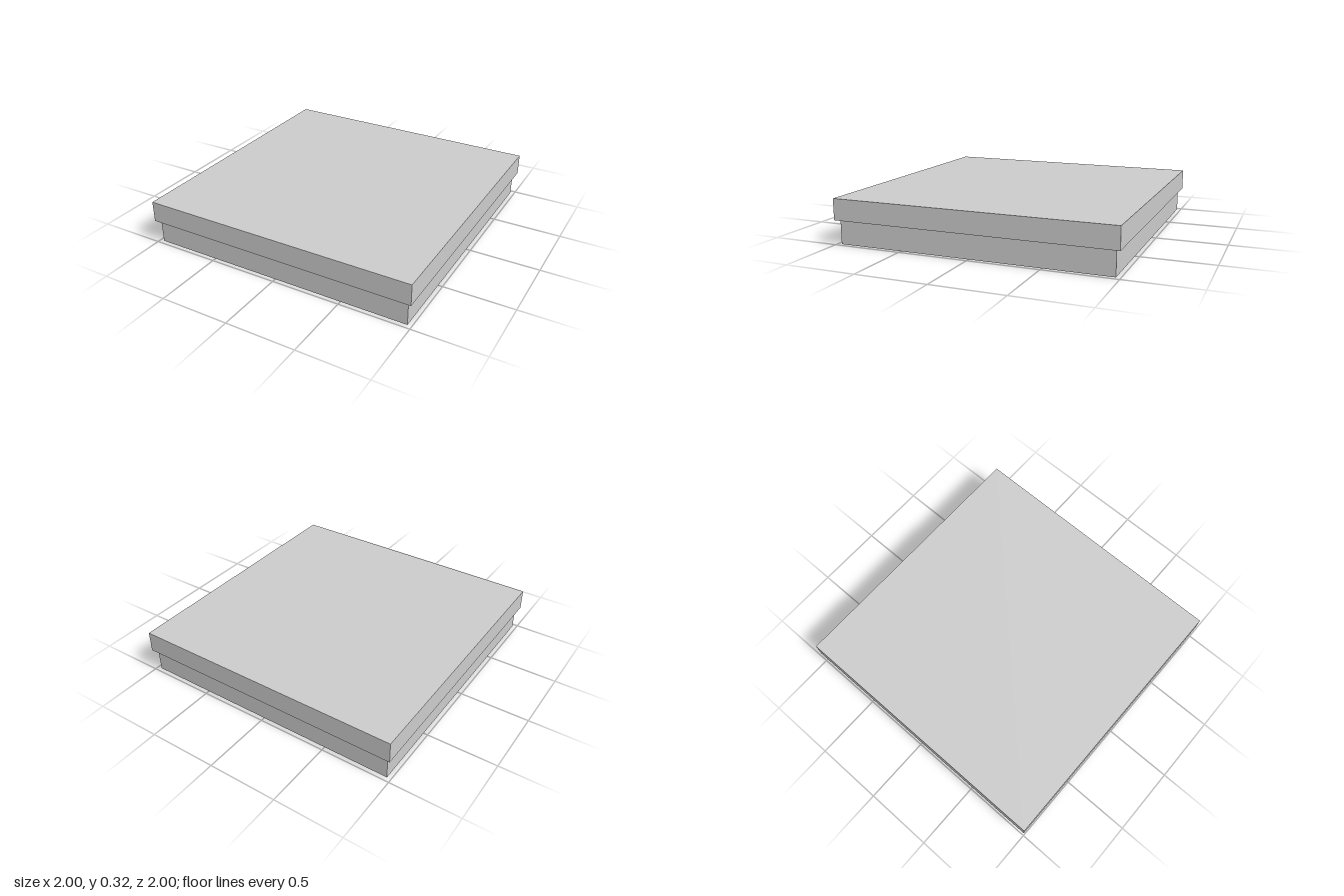
import * as THREE from 'three';

const material = new THREE.MeshStandardMaterial({ color: 0xcccccc });

function panel(name, width, height, depth, x, y, z) {
  const mesh = new THREE.Mesh(new THREE.BoxGeometry(width, height, depth), material);
  mesh.name = name;
  mesh.position.set(x, y, z);
  return mesh;
}

// Square tray: one plate and four walls; side walls run the full depth,
// front and back walls fit between them.
function tray(name, half, thickness, plateY, wallBottom, wallTop) {
  const group = new THREE.Group();
  group.name = name;
  const height = wallTop - wallBottom;
  const y = (wallTop + wallBottom) / 2;
  const offset = half - thickness / 2;
  group.add(panel(name + 'Plate', half * 2, thickness, half * 2, 0, plateY, 0));
  for (const s of [1, -1]) {
    group.add(panel(name + (s > 0 ? 'LeftWall' : 'RightWall'), thickness, height, half * 2, s * offset, y, 0));
    group.add(panel(name + (s > 0 ? 'FrontWall' : 'BackWall'), (half - thickness) * 2, height, thickness, 0, y, s * offset));
  }
  return group;
}

export function createModel() {
  const box = new THREE.Group();
  box.name = 'liddedBox';
  // Base tray, its walls reaching up inside the lid
  box.add(tray('base', 0.97, 0.024, 0.012, 0.024, 0.302));
  // Overhanging lid, open downward
  box.add(tray('lid', 1, 0.022, 0.314, 0.173, 0.303));
  return box;
}
